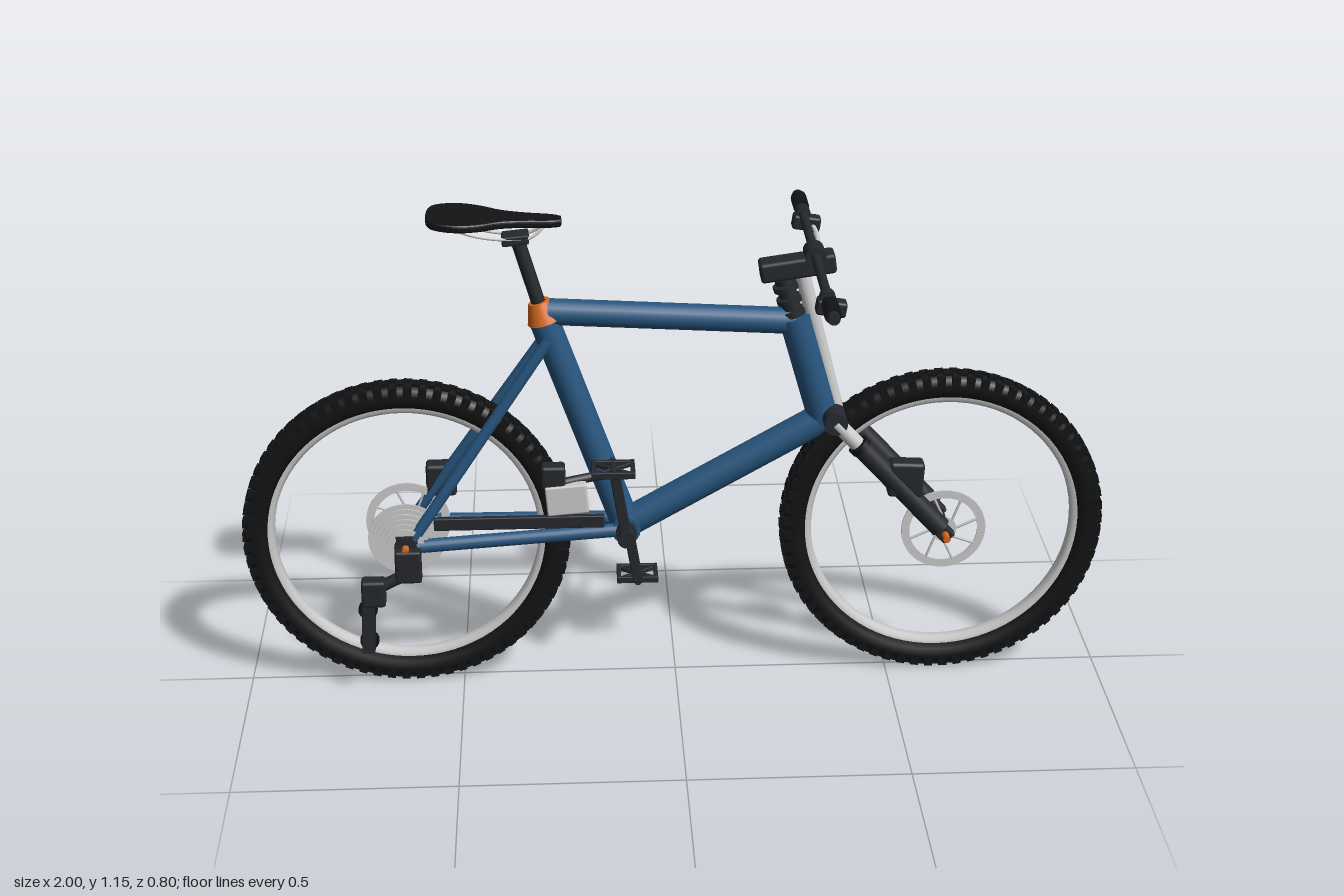
import * as THREE from 'three';
import { mergeGeometries } from 'three/addons/utils/BufferGeometryUtils.js';
import { RoundedBoxGeometry } from 'three/addons/geometries/RoundedBoxGeometry.js';

const mat = (color, side = THREE.FrontSide) => new THREE.MeshStandardMaterial({ color, side });
const V = (p) => new THREE.Vector3(...p);

export function createModel() {
  const root = new THREE.Group();
  const blue = mat(0x27567f), dark = mat(0x25282d), black = mat(0x121314);
  const silver = mat(0xcccccc), orange = mat(0xd8691c);

  const add = (name, geometry, material, pos = [0, 0, 0], rotZ = 0, parent = root) => {
    const m = new THREE.Mesh(geometry, material);
    m.name = name;
    m.position.set(...pos);
    m.rotation.z = rotZ;
    parent.add(m);
    return m;
  };
  // Round bar between two points
  const bar = (name, material, a, b, r, r2 = r, seg = 20, parent = root) => {
    const d = V(b).sub(V(a));
    const m = add(name, new THREE.CylinderGeometry(r2, r, d.length(), seg), material,
      V(a).add(V(b)).multiplyScalar(0.5).toArray(), 0, parent);
    m.quaternion.setFromUnitVectors(new THREE.Vector3(0, 1, 0), d.normalize());
    return m;
  };
  const box = (name, material, size, pos, rotZ = 0, parent = root) =>
    add(name, new RoundedBoxGeometry(...size, 2, Math.min(...size) * 0.18), material, pos, rotZ, parent);
  const tube = (name, material, pts, r, parent = root) =>
    add(name, new THREE.TubeGeometry(new THREE.CatmullRomCurve3(pts.map(V)), 28, r, 8), material, [0, 0, 0], 0, parent);
  const ringShape = (r, hole) => {
    const s = new THREE.Shape().absarc(0, 0, r, 0, Math.PI * 2);
    s.holes.push(new THREE.Path().absarc(0, 0, hole, 0, Math.PI * 2, true));
    return s;
  };
  const plate = (shape, depth) =>
    new THREE.ExtrudeGeometry(shape, { depth, bevelEnabled: false, curveSegments: 40 }).translate(0, 0, -depth / 2);

  // Wheels: tyre, knobs, rim and hub
  const latheZ = (pts) => new THREE.LatheGeometry(pts.map((p) => new THREE.Vector2(...p)), 80).rotateX(Math.PI / 2);
  const tyreGeo = latheZ([[0.318, -0.016], [0.33, -0.026], [0.35, -0.029], [0.364, -0.024], [0.371, -0.012],
    [0.373, 0], [0.371, 0.012], [0.364, 0.024], [0.35, 0.029], [0.33, 0.026], [0.318, 0.016], [0.318, -0.016]]);
  const rimGeo = latheZ([[0.322, -0.017], [0.311, -0.017], [0.304, -0.009], [0.304, 0.009], [0.311, 0.017], [0.322, 0.017]]);
  const knobs = [];
  const rows = 68;
  for (let i = 0; i < rows; i++) {
    const a = (i / rows) * Math.PI * 2;
    knobs.push(new THREE.BoxGeometry(0.014, 0.021, 0.026).translate(0.3705, 0, 0).rotateZ(a));
    for (const s of [-1, 1]) {
      knobs.push(new THREE.BoxGeometry(0.024, 0.019, 0.014).translate(0.3605, 0, s * 0.0235)
        .rotateZ(a + Math.PI / rows));
    }
  }
  const knobGeo = mergeGeometries(knobs);
  const rimMat = mat(0xcccccc, THREE.DoubleSide), tyreMat = mat(0x121314, THREE.DoubleSide);
  for (const [name, x] of [['rearWheel', -0.62], ['frontWheel', 0.62]]) {
    const g = new THREE.Group();
    g.name = name;
    g.position.set(x, 0.385, 0);
    root.add(g);
    add('tyre', tyreGeo, tyreMat, [0, 0, 0], 0, g);
    add('treadKnobs', knobGeo, black, [0, 0, 0], 0, g);
    add('rim', rimGeo, rimMat, [0, 0, 0], 0, g);
    bar('hub', dark, [0, 0, -0.05], [0, 0, 0.05], 0.014, 0.014, 20, g);
    bar('axle', orange, [0, 0, -0.105], [0, 0, 0.105], 0.008, 0.008, 16, g);

    // Spoked brake disc
    const z = x > 0 ? 0.046 : -0.056;
    add('brakeDisc', plate(ringShape(0.098, 0.079), 0.004), silver, [0, 0, z], 0, g);
    add('discCarrier', plate(ringShape(0.03, 0.012), 0.006), silver, [0, 0, z], 0, g);
    for (let i = 0; i < 8; i++) {
      const a = i * Math.PI / 4;
      const c = Math.cos(a), s = Math.sin(a), c2 = Math.cos(a + 0.3), s2 = Math.sin(a + 0.3);
      bar('discArm', silver, [0.026 * c, 0.026 * s, z], [0.082 * c2, 0.082 * s2, z], 0.003, 0.003, 6, g);
    }
  }

  // Frame
  const crankX = -0.115, crankY = 0.395;
  bar('seatTube', blue, [crankX, crankY, 0], [-0.295, 0.91, 0], 0.034);
  bar('topTube', blue, [-0.285, 0.925, 0], [0.268, 0.892, 0], 0.03);
  bar('headTube', blue, [0.342, 0.648, 0], [0.268, 0.905, 0], 0.037);
  bar('downTube', blue, [crankX, crankY, 0], [0.345, 0.658, 0], 0.035);
  bar('bottomBracket', dark, [crankX, crankY, -0.065], [crankX, crankY, 0.065], 0.024);
  bar('bottomBracketShell', blue, [crankX, crankY, -0.042], [crankX, crankY, 0.042], 0.033);
  for (const s of [-1, 1]) {
    bar('seatStay', blue, [-0.285, 0.865, s * 0.026], [-0.605, 0.395, s * 0.068], 0.013);
    bar('chainStay', blue, [crankX, 0.395, s * 0.032], [-0.62, 0.38, s * 0.07], 0.016);
    box('dropout', dark, [0.05, 0.055, 0.014], [-0.617, 0.385, s * 0.072]);
  }

  // Seat post, clamp and saddle
  bar('seatPost', dark, [-0.285, 0.88, 0], [-0.35, 1.105, 0], 0.016);
  bar('seatClamp', orange, [-0.291, 0.905, 0], [-0.304, 0.95, 0], 0.04, 0.024);
  box('saddleClamp', dark, [0.06, 0.022, 0.05], [-0.352, 1.1, 0], 0.1);
  const half = [[-0.25, 0.012], [-0.27, 0.02], [-0.33, 0.026], [-0.38, 0.038], [-0.425, 0.062], [-0.47, 0.074], [-0.515, 0.064], [-0.535, 0.035]];
  const outline = new THREE.SplineCurve([...half, ...half.slice().reverse().map(([x, z]) => [x, -z])]
    .map(([x, z]) => new THREE.Vector2(x + 0.39, z))).getPoints(60);
  const saddleGeo = new THREE.ExtrudeGeometry(new THREE.Shape(outline),
    { depth: 0.006, bevelThickness: 0.006, bevelSize: 0.005, bevelSegments: 3 }).rotateX(-Math.PI / 2);
  add('saddle', saddleGeo, black, [-0.395, 1.141, 0], -0.05);
  for (const s of [-1, 1]) {
    tube('saddleRail', silver, [[-0.5, 1.142, s * 0.042], [-0.44, 1.115, s * 0.028], [-0.38, 1.104, s * 0.022],
      [-0.32, 1.106, s * 0.02], [-0.28, 1.136, s * 0.01]], 0.004);
  }

  // Headset spacers, steerer and stem
  for (let i = 0; i < 6; i++) {
    const x = 0.266 - i * 0.0043, y = 0.908 + i * 0.015;
    bar('headsetSpacer', dark, [x, y, 0], [x - 0.0035, y + 0.012, 0], i % 2 ? 0.021 : 0.029);
  }
  bar('steerer', silver, [0.37, 0.665, 0], [0.282, 1.01, 0], 0.017);
  box('stem', dark, [0.17, 0.046, 0.056], [0.272, 1.024, 0], 0.14);
  bar('handlebarClamp', dark, [0.31, 1.05, -0.028], [0.31, 1.05, 0.028], 0.024);

  // Handlebar, grips and brake levers
  bar('handlebar', dark, [0.31, 1.052, -0.4], [0.31, 1.052, 0.4], 0.0105);
  for (const s of [-1, 1]) {
    bar('grip', black, [0.31, 1.052, s * 0.308], [0.31, 1.052, s * 0.382], 0.017);
    for (let i = 0; i < 5; i++) {
      const z = s * (0.316 + i * 0.0145);
      bar('gripRidge', black, [0.31, 1.052, z - 0.003], [0.31, 1.052, z + 0.003], 0.0185);
    }
    bar('gripEnd', dark, [0.31, 1.052, s * 0.38], [0.31, 1.052, s * 0.4], 0.013);
    bar('leverClamp', dark, [0.31, 1.052, s * 0.258], [0.31, 1.052, s * 0.284], 0.017);
    box('leverBody', dark, [0.065, 0.034, 0.036], [0.318, 1.03, s * 0.27], -0.15);
    tube('brakeLever', silver, [[0.33, 1.028, s * 0.265], [0.338, 1.017, s * 0.23], [0.338, 1.006, s * 0.19], [0.332, 1.001, s * 0.133]], 0.0055);
  }

  // Suspension fork
  bar('forkCrown', dark, [0.36, 0.667, -0.076], [0.36, 0.667, 0.076], 0.027);
  bar('forkKnob', orange, [0.362, 0.69, -0.06], [0.357, 0.71, -0.06], 0.011);
  for (const s of [-1, 1]) {
    bar('forkStanchion', silver, [0.36, 0.667, s * 0.06], [0.46, 0.56, s * 0.06], 0.018);
    bar('forkLower', dark, [0.418, 0.607, s * 0.062], [0.61, 0.397, s * 0.062], 0.0235, 0.0245);
    bar('forkSeal', black, [0.412, 0.613, s * 0.062], [0.422, 0.602, s * 0.062], 0.026);
    box('forkDropout', dark, [0.05, 0.035, 0.024], [0.615, 0.389, s * 0.064], -0.83);
  }
  box('frontCaliper', dark, [0.08, 0.085, 0.045], [0.525, 0.525, 0.058], -0.05);
  box('rearCaliper', dark, [0.07, 0.078, 0.045], [-0.54, 0.487, -0.074]);

  // Cranks and caged pedals
  for (const s of [-1, 1]) {
    const px = crankX - s * 0.03, py = crankY + s * 0.188, z = s * 0.077;
    box('crankArm', dark, [0.024, 0.2, 0.018], [(crankX + px) / 2, (crankY + py) / 2, z], 0.16);
    bar('crankBoss', dark, [crankX, crankY, s * 0.06], [crankX, crankY, s * 0.09], 0.021);
    const g = new THREE.Group();
    g.name = 'pedal';
    g.position.set(px, py + s * 0.005, s * 0.118);
    root.add(g);
    bar('pedalAxle', dark, [0, 0, -s * 0.048], [0, 0, s * 0.03], 0.008, 0.008, 12, g);
    for (const e of [-1, 1]) {
      box('pedalRail', dark, [0.01, 0.016, 0.07], [e * 0.044, 0, 0], 0, g);
      box('pedalSide', dark, [0.098, 0.016, 0.01], [0, 0, e * 0.032], 0, g);
      const brace = box('pedalBrace', dark, [0.1, 0.01, 0.008], [0, 0, 0], 0, g);
      brace.rotation.y = e * 0.6;
    }
  }

  // Cassette and chain guide
  for (let i = 0; i < 6; i++) {
    const r = 0.088 - i * 0.009;
    add('sprocket', plate(ringShape(r, r * (i ? 0.5 : 0.62)), 0.003), silver, [-0.62, 0.385, 0.036 + i * 0.008]);
  }
  bar('cassetteBody', dark, [-0.62, 0.385, 0.03], [-0.62, 0.385, 0.085], 0.026);
  box('chainGuide', dark, [0.39, 0.03, 0.014], [-0.36, 0.43, 0.055]);

  // Front derailleur
  box('frontDerailleurCage', silver, [0.095, 0.072, 0.026], [-0.25, 0.495, 0.07], 0.08);
  box('frontDerailleurBody', dark, [0.055, 0.055, 0.04], [-0.28, 0.548, 0.058]);
  bar('frontDerailleurLink', dark, [-0.26, 0.53, 0.06], [-0.165, 0.535, 0.03], 0.011);

  // Rear derailleur
  box('derailleurMount', dark, [0.06, 0.08, 0.034], [-0.615, 0.345, 0.092]);
  bar('derailleurLink', dark, [-0.615, 0.325, 0.092], [-0.695, 0.285, 0.094], 0.014);
  box('derailleurBody', dark, [0.055, 0.065, 0.04], [-0.697, 0.28, 0.095]);
  for (const s of [-1, 1]) box('derailleurCage', dark, [0.03, 0.15, 0.006], [-0.712, 0.2, 0.095 + s * 0.009], -0.04);
  for (const y of [0.235, 0.155]) bar('guidePulley', black, [-0.712, y, 0.088], [-0.712, y, 0.102], 0.022, 0.022, 14);

  return root;
}
